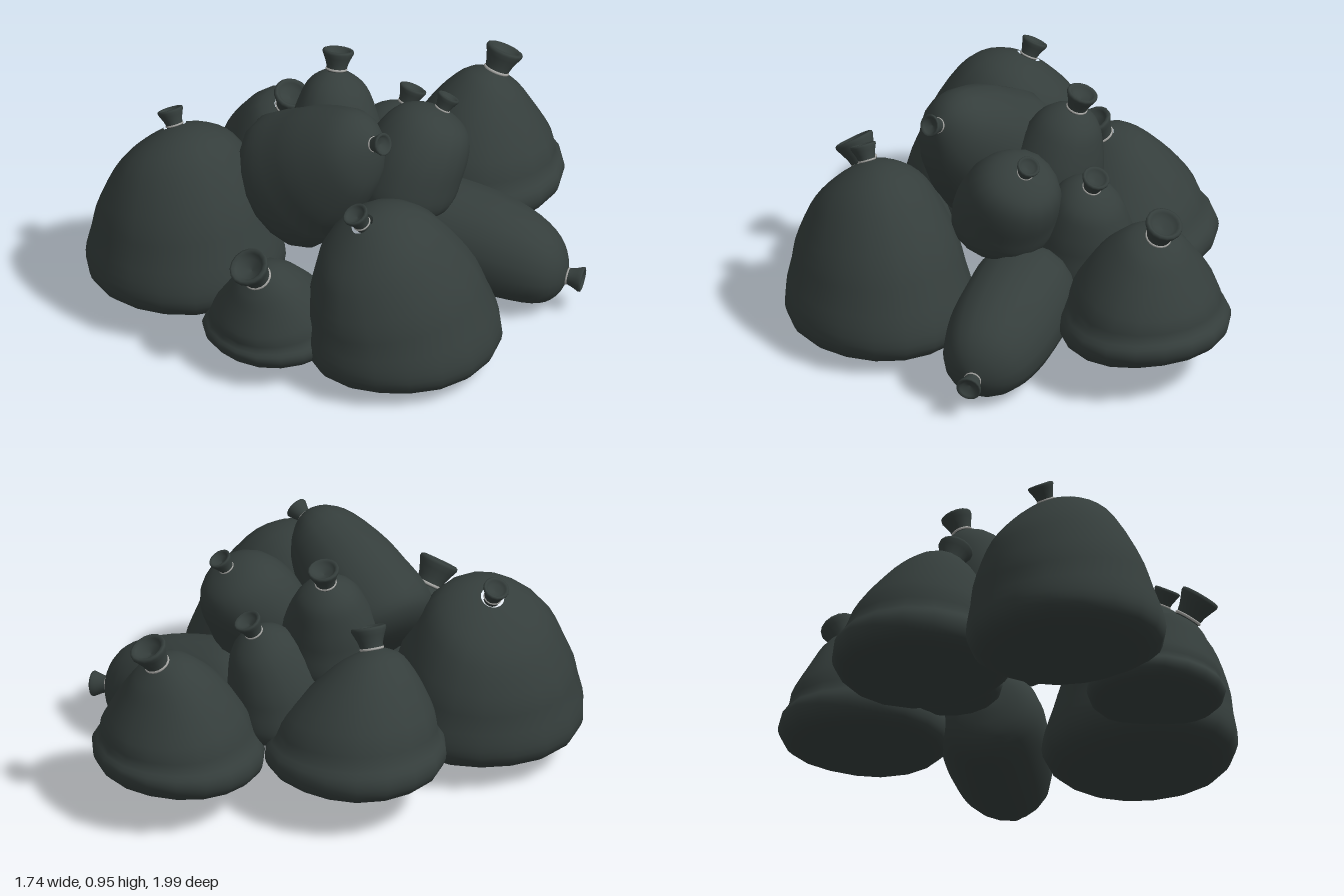
import * as THREE from 'three';
import { mergeVertices } from 'three/addons/utils/BufferGeometryUtils.js';

const V = (a) => new THREE.Vector3(...a);
const UP = new THREE.Vector3(0, 1, 0);

// Sack profiles: [radius fraction, height fraction]
const PROFILES = {
  slumped: [[0, 0], [0.55, 0.02], [0.86, 0.08], [0.98, 0.16], [0.98, 0.27], [0.91, 0.42], [0.84, 0.58], [0.67, 0.79], [0.51, 0.9], [0.3, 0.97], [0.12, 1]],
  conical: [[0, 0], [0.55, 0.02], [0.88, 0.08], [0.99, 0.17], [0.99, 0.27], [0.9, 0.36], [0.84, 0.5], [0.68, 0.68], [0.52, 0.82], [0.34, 0.94], [0.14, 1]],
  round: [[0, 0], [0.55, 0.03], [0.86, 0.1], [0.99, 0.22], [1, 0.4], [0.97, 0.6], [0.86, 0.78], [0.68, 0.9], [0.42, 0.97], [0.15, 1]],
};

// Gathered end: a flared cup with a hollow top
const CUP = [[0.6, -0.35], [0.64, 0.1], [0.72, 0.45], [0.88, 0.85], [1, 1.12], [0.99, 1.27], [0.88, 1.32], [0.72, 1.22], [0.55, 0.95], [0, 0.8]];

// base: underside centre, neck: tied point, r: radii across x and z,
// lean: direction of the gathered end, up: axis of the sack
const BAGS = [
  { name: 'frontRightBag', profile: 'slumped', base: [-0.365, 0.06, 0.6], neck: [-0.48, 0.73, 0.58], r: [0.39, 0.4], lean: [-0.5, 0.9, 0], up: [-0.06, 1, 0], cup: 0.052 },
  { name: 'leftBag', profile: 'slumped', base: [0.51, 0, 0.185], neck: [0.45, 0.67, 0.35], r: [0.365, 0.405], lean: [-0.03, 0.85, 0.5], cup: 0.052 },
  { name: 'rightBag', profile: 'conical', base: [-0.51, 0.13, -0.05], neck: [-0.46, 0.63, 0.05], r: [0.365, 0.355], lean: [0.4, 0.85, 0.05], cup: 0.07 },
  { name: 'smallFrontBag', profile: 'conical', base: [0.165, 0.06, 0.57], neck: [0.225, 0.43, 0.69], r: [0.275, 0.27], lean: [0.12, 0.75, 0.52], cup: 0.08 },
  { name: 'backBag', profile: 'conical', base: [-0.165, 0.12, -0.66], neck: [-0.17, 0.64, -0.75], r: [0.34, 0.34], lean: [0, 0.85, -0.45], up: [0, 1, 0.08], cup: 0.075 },
  { name: 'lyingBag', profile: 'round', base: [0.0, 0.265, -0.18], neck: [0.575, 0.15, -0.55], r: [0.205, 0.215], lean: [0.72, -0.12, -0.6], up: [0.82, -0.04, -0.56], cup: 0.05 },
  { name: 'topBag', profile: 'slumped', base: [-0.21, 0.47, 0.27], neck: [0.25, 0.86, 0.15], r: [0.28, 0.235], lean: [0.85, 0.35, -0.2], up: [0.74, 0.66, -0.08], cup: 0.045 },
  { name: 'upperRightBag', profile: 'slumped', base: [-0.19, 0.4, 0.02], neck: [-0.27, 0.86, -0.05], r: [0.21, 0.21], lean: [-0.2, 1, -0.27], cup: 0.062 },
  { name: 'upperBackBag', profile: 'round', base: [0.115, 0.4, -0.07], neck: [0.13, 0.8, -0.27], r: [0.205, 0.205], lean: [0.05, 0.8, -0.5], up: [0, 0.95, -0.2], cup: 0.046 },
  { name: 'innerBackBag', profile: 'slumped', base: [-0.19, 0.2, -0.2], neck: [-0.16, 0.66, -0.31], r: [0.22, 0.22], lean: [0, 0.85, -0.45], cup: 0.055 },
];

// Smooth sack whose rings drift and tilt progressively toward the tied neck
function sackGeometry(bag, seed) {
  const base = V(bag.base), span = V(bag.neck).sub(base);
  const axis = V(bag.up || [0, 1, 0]).normalize();
  const rise = axis.clone().multiplyScalar(span.dot(axis));
  const drift = span.clone().sub(rise);
  const qBase = new THREE.Quaternion().setFromUnitVectors(UP, axis);
  const qNeck = new THREE.Quaternion().setFromUnitVectors(UP, V(bag.lean).normalize());

  const curve = new THREE.SplineCurve(PROFILES[bag.profile].map(([x, y]) => new THREE.Vector2(x, y)));
  const points = curve.getPoints(24);
  let geo = new THREE.LatheGeometry(points, 18);
  geo.deleteAttribute('uv');
  geo.deleteAttribute('normal');
  geo = mergeVertices(geo, 1e-5);

  const pos = geo.attributes.position, p = new THREE.Vector3(), q = new THREE.Quaternion();
  for (let i = 0; i < pos.count; i++) {
    p.fromBufferAttribute(pos, i);
    const s = p.y, angle = Math.atan2(p.z, p.x);
    const lump = 1 + 0.015 * Math.sin(3 * angle + seed * 2.1 + s * 3) + 0.008 * Math.sin(5 * angle + seed);
    p.set(p.x * bag.r[0] * lump, 0, p.z * bag.r[1] * lump);
    q.slerpQuaternions(qBase, qNeck, THREE.MathUtils.clamp(s * s, 0, 1));
    p.applyQuaternion(q).add(base).addScaledVector(rise, s).addScaledVector(drift, s * s);
    pos.setXYZ(i, p.x, p.y, p.z);
  }
  geo.computeVertexNormals();
  return geo;
}

export function createModel() {
  const plastic = new THREE.MeshStandardMaterial({ color: 0x353e3c });
  plastic.name = 'dark plastic';
  const string = new THREE.MeshStandardMaterial({ color: 0xa6a6a3 });
  string.name = 'pale string';

  const cupGeo = new THREE.LatheGeometry(CUP.map(([x, y]) => new THREE.Vector2(x, y)), 16);
  const tieGeo = new THREE.TorusGeometry(0.63, 0.08, 6, 20).rotateX(Math.PI / 2);

  const model = new THREE.Group();
  model.name = 'bagPile';
  BAGS.forEach((bag, i) => {
    const group = new THREE.Group();
    group.name = bag.name;
    const sack = new THREE.Mesh(sackGeometry(bag, i), plastic);
    sack.name = 'sack';
    group.add(sack);

    // Gathered end and its string
    const knot = new THREE.Group();
    knot.name = 'knot';
    knot.position.copy(V(bag.neck));
    knot.quaternion.setFromUnitVectors(UP, V(bag.lean).normalize());
    knot.scale.setScalar(bag.cup);
    const cup = new THREE.Mesh(cupGeo, plastic);
    cup.name = 'gatheredEnd';
    const tie = new THREE.Mesh(tieGeo, string);
    tie.name = 'tie';
    tie.position.y = 0.06;
    knot.add(cup, tie);
    group.add(knot);
    model.add(group);
  });
  return model;
}
